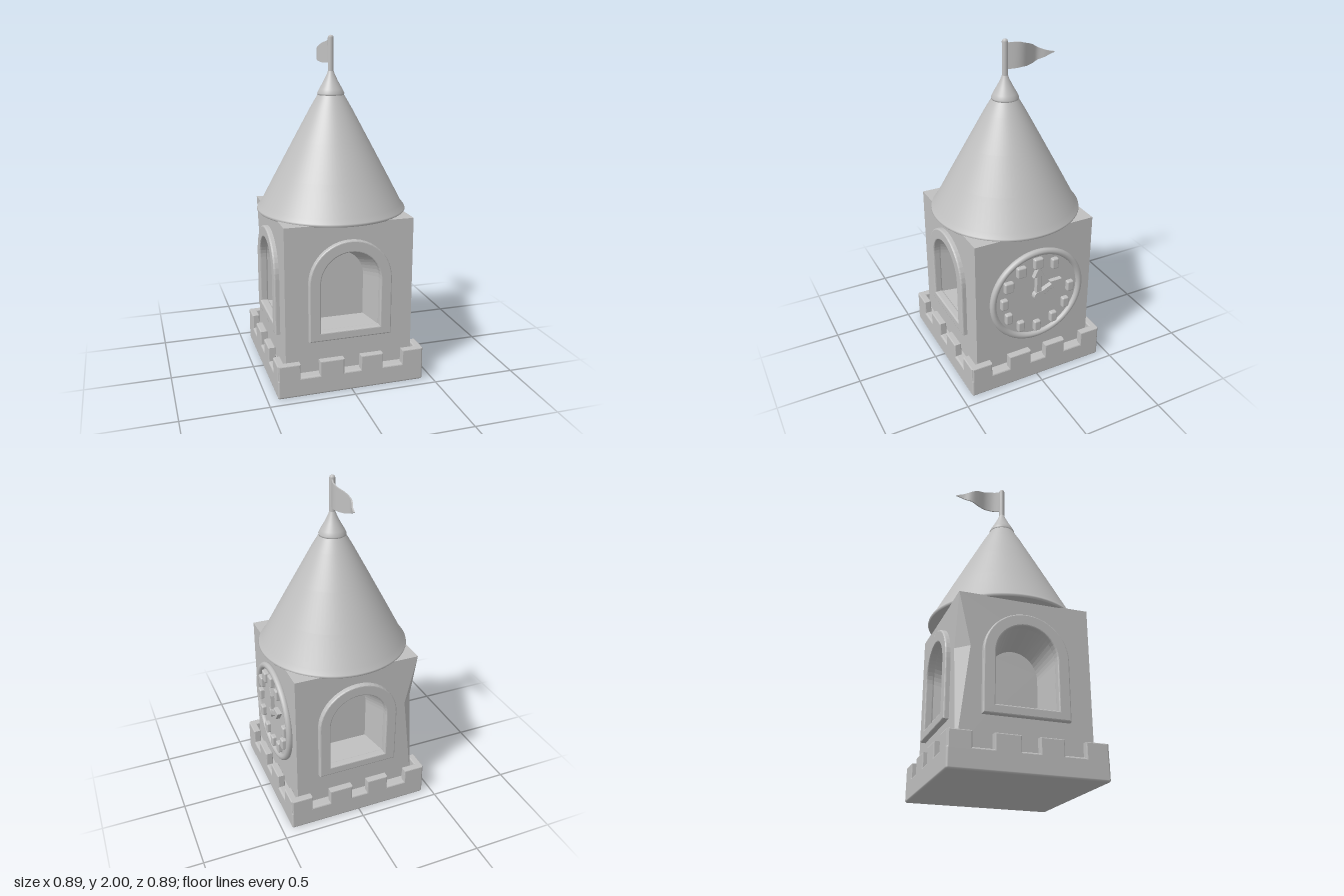
import * as THREE from 'three';
import { RoundedBoxGeometry } from 'three/addons/geometries/RoundedBoxGeometry.js';

const HALF = 0.38, TOP = 0.99, FOOT = 0.1;

export function createModel() {
  const group = new THREE.Group();
  group.name = 'clockTower';
  const stone = new THREE.MeshStandardMaterial({ color: 0xc0c0c0, side: THREE.DoubleSide });
  stone.name = 'stone grey';

  const add = (name, geometry, parent = group) => {
    const mesh = new THREE.Mesh(geometry, stone);
    mesh.name = name;
    parent.add(mesh);
    return mesh;
  };
  const side = (name, turns) => {
    const g = new THREE.Group();
    g.name = name;
    g.rotation.y = turns * Math.PI / 2;
    group.add(g);
    return g;
  };
  const polygon = (pts) => new THREE.Shape(pts.map(([x, y]) => new THREE.Vector2(x, y)));

  // Outline of a round-topped opening
  const archPoints = (r, bottom, spring = 0.65) => {
    const pts = [[-r, bottom], [r, bottom]];
    for (let i = 0; i <= 24; i++) {
      const a = Math.PI * i / 24;
      pts.push([r * Math.cos(a), spring + r * Math.sin(a)]);
    }
    return pts;
  };
  const inner = archPoints(0.185, 0.355);

  // Base slab with a battlement along each side
  add('base', new RoundedBoxGeometry(0.88, 0.118, 0.88, 3, 0.012)).position.y = 0.059;
  const lo = 0.112, hi = 0.2;
  const notches = [[-0.31, -0.19], [-0.05, 0.055], [0.185, 0.31]];
  const crest = [[-0.432, 0.09], [-0.432, hi]];
  notches.forEach(([a, b]) => crest.push([a, hi], [a, lo], [b, lo], [b, hi]));
  crest.push([0.432, hi], [0.432, 0.09]);
  const battlement = new THREE.ExtrudeGeometry(polygon(crest), {
    depth: 0.032, bevelThickness: 0.006, bevelSize: 0.006, bevelOffset: -0.004, bevelSegments: 2,
  });
  for (let i = 0; i < 4; i++) {
    add('battlement', battlement, side('baseSide', i)).position.z = 0.402;
  }

  // Walls: an arched niche on three sides; one corner is pinched at mid height
  const PINCH = 0.07, MID = 0.68;
  const wall = (name, turns, hasWindow, pinch = 0) => {
    const g = side(name, turns);
    const pts = [[-HALF, FOOT], [HALF, FOOT]];
    if (pinch > 0) pts.push([HALF - PINCH, MID]);
    pts.push([HALF, TOP], [-HALF, TOP]);
    if (pinch < 0) pts.push([-HALF + PINCH, MID]);
    const shape = polygon(pts);
    if (hasWindow) shape.holes.push(polygon(inner));
    add('wall', new THREE.ShapeGeometry(shape), g).position.z = HALF;
    if (hasWindow) addWindow(g);
  };

  const addWindow = (g) => {
    // Raised frame
    const ring = polygon(archPoints(0.238, 0.317));
    ring.holes.push(polygon(inner));
    add('windowFrame', new THREE.ExtrudeGeometry(ring, {
      depth: 0.03, bevelThickness: 0.01, bevelSize: 0.008, bevelSegments: 3,
    }), g).position.z = 0.37;

    // Niche sides taper toward a smaller back panel
    const back = inner.map(([x, y]) => [x * 0.8, 0.355 + (y - 0.355) * 0.85]);
    const zBack = HALF - 0.2;
    const pos = [];
    inner.forEach(([x, y], i) => {
      const j = (i + 1) % inner.length;
      const [x2, y2] = inner[j], [u, v] = back[i], [u2, v2] = back[j];
      pos.push(x, y, HALF, u2, v2, zBack, x2, y2, HALF);
      pos.push(x, y, HALF, u, v, zBack, u2, v2, zBack);
    });
    const niche = new THREE.BufferGeometry();
    niche.setAttribute('position', new THREE.Float32BufferAttribute(pos, 3));
    niche.computeVertexNormals();
    add('windowNiche', niche, g);
    add('nicheBack', new THREE.ShapeGeometry(polygon(back)), g).position.z = zBack;
  };

  wall('frontSide', 0, true);
  wall('clockSide', 1, false);
  wall('backSide', 2, true, 1);
  wall('rightSide', 3, true, -1);

  // Facets filling the pinched corner
  const h = -HALF, m = -HALF + PINCH;
  const facets = new THREE.BufferGeometry();
  facets.setAttribute('position', new THREE.Float32BufferAttribute([
    h, TOP, h, m, MID, h, h, MID, m,
    h, FOOT, h, h, MID, m, m, MID, h,
  ], 3));
  facets.computeVertexNormals();
  add('pinchedCorner', facets);
  const ceiling = add('wallTop', new THREE.PlaneGeometry(HALF * 2, HALF * 2));
  ceiling.rotation.x = -Math.PI / 2;
  ceiling.position.y = TOP;

  // Clock, built facing +z and turned to the +x side
  const clock = new THREE.Group();
  clock.name = 'clock';
  clock.rotation.y = Math.PI / 2;
  clock.position.set(HALF, 0.572, -0.01);
  group.add(clock);
  const dial = add('dial', new THREE.CylinderGeometry(0.29, 0.29, 0.02, 64), clock);
  dial.rotation.x = Math.PI / 2;
  add('dialRim', new THREE.TorusGeometry(0.288, 0.02, 10, 64), clock).position.z = 0.012;
  for (let i = 0; i < 12; i++) {
    if (i === 2) continue; // covered by the hour hand
    const a = i * Math.PI / 6;
    const wide = i === 0 || i > 9 ? 0.06 : 0.045;
    const mark = add('hourMark', new RoundedBoxGeometry(wide, 0.07, 0.035, 2, 0.01), clock);
    mark.position.set(0.22 * Math.sin(a), 0.22 * Math.cos(a), 0.02);
  }
  const hand = (name, len, angle) => {
    const shape = polygon([[-0.016, 0], [0.016, 0], [0.011, len - 0.065],
      [0.032, len - 0.065], [0, len], [-0.032, len - 0.065], [-0.011, len - 0.065]]);
    const mesh = add(name, new THREE.ExtrudeGeometry(shape, {
      depth: 0.025, bevelThickness: 0.004, bevelSize: 0.003, bevelSegments: 2,
    }), clock);
    mesh.position.z = 0.008;
    mesh.rotation.z = -angle;
  };
  hand('minuteHand', 0.2, 0);
  hand('hourHand', 0.17, 1.1);
  const hub = add('handHub', new THREE.CylinderGeometry(0.03, 0.034, 0.04, 24), clock);
  hub.rotation.x = Math.PI / 2;
  hub.position.z = 0.02;

  // Conical roof and its cap
  const lathe = (pts) => new THREE.LatheGeometry(pts.map(([r, y]) => new THREE.Vector2(r, y)), 72);
  add('roofUnderside', lathe([[0, 0.985], [0.438, 0.985]]));
  add('roof', lathe([[0.438, 0.985], [0.444, 0.992], [0.442, 1.002], [0.42, 1.03],
    [0.33, 1.2], [0.22, 1.405], [0.12, 1.59], [0.07, 1.675]]));
  add('roofCap', lathe([[0.06, 1.652], [0.077, 1.66], [0.079, 1.672], [0.068, 1.695],
    [0.045, 1.735], [0.025, 1.775], [0.016, 1.8]]));

  // Flagpole
  add('flagpole', lathe([[0.017, 1.75], [0.017, 1.985], [0.013, 1.996], [0, 2]]));

  // Waving pennant: a thin strip bent along a curve
  const wave = new THREE.CatmullRomCurve3([[0, 0], [0.024, -0.07], [0.022, -0.11],
    [-0.005, -0.165], [-0.02, -0.21], [-0.003, -0.26], [0.008, -0.308]]
    .map(([x, z]) => new THREE.Vector3(x, 0, z)));
  const upper = new THREE.SplineCurve([[0, 1.98], [0.09, 1.976], [0.18, 1.95], [0.25, 1.912], [0.308, 1.893]]
    .map((p) => new THREE.Vector2(...p)));
  const lower = new THREE.SplineCurve([[0, 1.83], [0.09, 1.838], [0.18, 1.837], [0.25, 1.857], [0.308, 1.888]]
    .map((p) => new THREE.Vector2(...p)));
  const flag = new THREE.BoxGeometry(1, 1, 0.008, 28, 2, 1);
  const p = flag.attributes.position;
  for (let i = 0; i < p.count; i++) {
    const t = p.getX(i) + 0.5, v = p.getY(i) + 0.5;
    const c = wave.getPoint(t), d = wave.getTangent(t);
    const y = THREE.MathUtils.lerp(lower.getPoint(t).y, upper.getPoint(t).y, v);
    const off = p.getZ(i);
    p.setXYZ(i, c.x - d.z * off, y, c.z + d.x * off);
  }
  // Flip the strip's faces if the bend turned them inside out
  const ix = flag.index.array, at = (k) => new THREE.Vector3().fromBufferAttribute(p, ix[k]);
  const start = flag.groups[4].start;
  const n = at(start + 1).sub(at(start)).cross(at(start + 2).sub(at(start)));
  const t0 = wave.getTangent(0);
  if (n.x * -t0.z + n.z * t0.x < 0) {
    for (let i = 0; i < ix.length; i += 3) [ix[i], ix[i + 1]] = [ix[i + 1], ix[i]];
  }
  flag.computeVertexNormals();
  add('flag', flag);

  return group;
}
